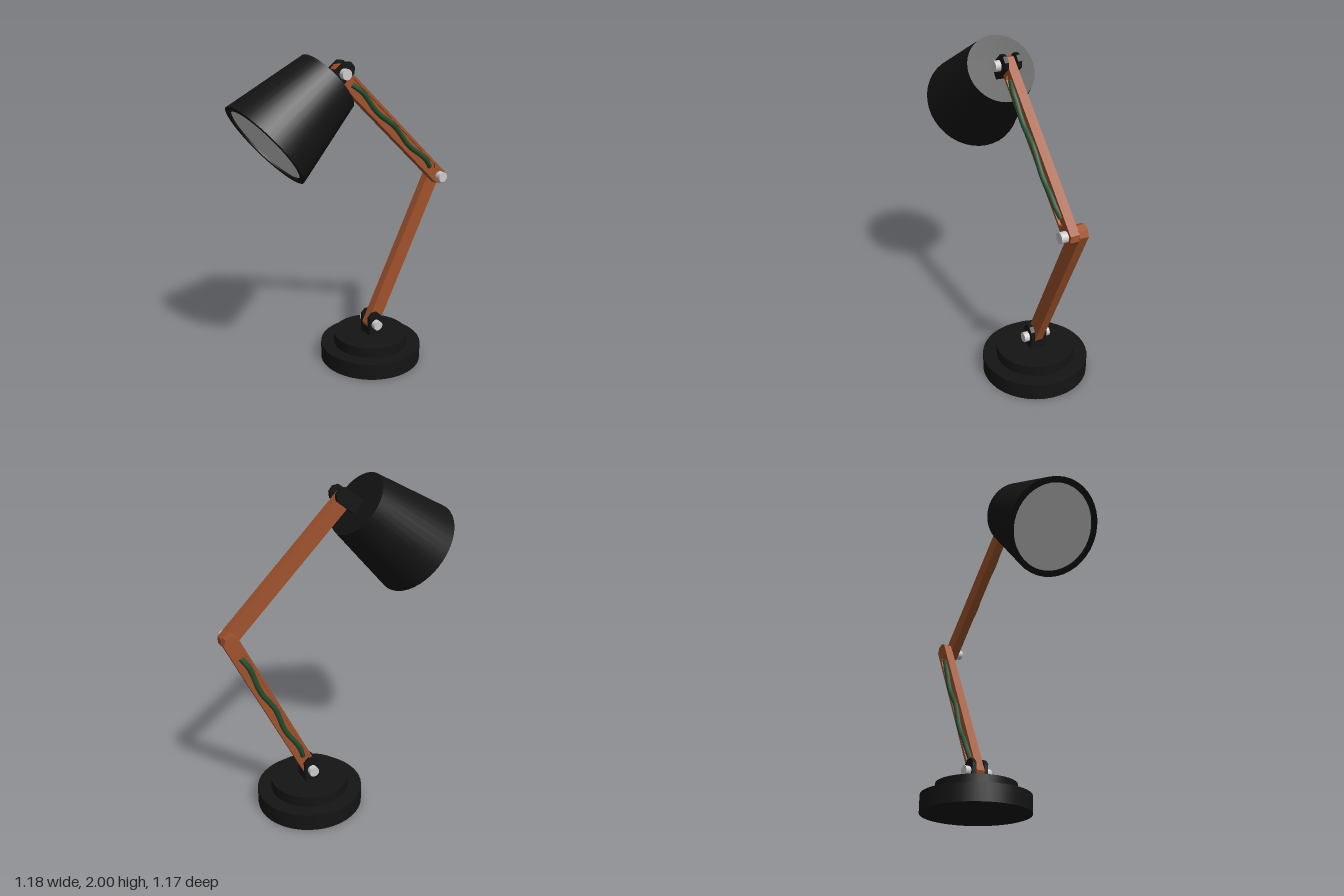
import * as THREE from 'three';

const mat = (color, side = THREE.FrontSide) => new THREE.MeshStandardMaterial({ color, side });
const black = mat(0x141414), wood = mat(0xa0522d), green = mat(0x254d2e), grey = mat(0xcccccc);

const ARM = 0.054;   // arm thickness
const R = 0.046;     // arm half width
const PLATE = 0.025; // bracket plate thickness

function add(parent, name, geometry, material, x = 0, y = 0, z = 0) {
  const mesh = new THREE.Mesh(geometry, material);
  mesh.name = name;
  mesh.position.set(x, y, z);
  parent.add(mesh);
  return mesh;
}

function group(parent, name, x = 0, y = 0, z = 0) {
  const g = new THREE.Group();
  g.name = name;
  g.position.set(x, y, z);
  parent.add(g);
  return g;
}

// Long bar outline with half-octagon ends, from x0 to x1
function barPoints(x0, x1, r) {
  const k = r * 0.414;
  return [[x0 - r, -k], [x0 - k, -r], [x1 + k, -r], [x1 + r, -k],
    [x1 + r, k], [x1 + k, r], [x0 - k, r], [x0 - r, k]].map(p => new THREE.Vector2(...p));
}

function extrude(shape, depth) {
  const g = new THREE.ExtrudeGeometry(shape, { depth, bevelEnabled: false });
  return g.translate(0, 0, -depth / 2);
}

function knob(parent, x, y, z) {
  const m = add(parent, 'knob', new THREE.CylinderGeometry(0.031, 0.031, 0.045, 16), grey, x, y, z);
  m.rotation.x = Math.PI / 2;
}

// Arm between two pivots, with a slot and a wavy cable on one side
function arm(parent, name, a, b, z, side) {
  const g = group(parent, name, a[0], a[1], z);
  const len = Math.hypot(b[0] - a[0], b[1] - a[1]);
  g.rotation.z = Math.atan2(b[1] - a[1], b[0] - a[0]);
  const slot = 0.012;
  add(g, 'armBar', extrude(new THREE.Shape(barPoints(0, len, R)), ARM - slot), wood, 0, 0, -side * slot / 2);
  const rim = new THREE.Shape(barPoints(0, len, R));
  rim.holes.push(new THREE.Path(barPoints(0.09, len - 0.09, 0.03).reverse()));
  add(g, 'armSlotRim', extrude(rim, slot), wood, 0, 0, side * (ARM - slot) / 2);
  const pts = [];
  for (let i = 0; i <= 12; i++) {
    const t = i / 12;
    const lift = i === 0 || i === 12 ? 0.018 : 0.032;
    pts.push(new THREE.Vector3(len * (0.1 + 0.8 * t), 0.009 * Math.sin(t * Math.PI * 5), side * lift));
  }
  add(g, 'cable', new THREE.TubeGeometry(new THREE.CatmullRomCurve3(pts), 60, 0.016, 8), green);
}

// Forked bracket, its pivot at the group's origin and its foot pointing down
function bracket(parent, name, x, y, z) {
  const g = group(parent, name, x, y, z);
  const w = 0.045, c = 0.026, top = 0.075, foot = -0.1;
  const shape = new THREE.Shape([[-w, foot], [w, foot], [w, top - c], [w - c, top],
    [c - w, top], [-w, top - c]].map(p => new THREE.Vector2(...p)));
  for (const s of [-1, 1]) add(g, 'bracketPlate', extrude(shape, PLATE), black, 0, 0, s * (ARM + PLATE) / 2);
  add(g, 'bracketFoot', new THREE.BoxGeometry(w * 2, 0.08, ARM), black, 0, -0.06, 0);
  return g;
}

export function createModel() {
  const root = new THREE.Group();
  root.name = 'deskLamp';
  // The arms fold in one vertical plane, turned about y
  const lamp = group(root, 'lamp');
  lamp.rotation.y = THREE.MathUtils.degToRad(43.8);

  const low = [0.27, 0.243], elbow = [0.719, 1.178], head = [-0.004, 1.883];
  const zLow = -0.046, zUp = 0.006;

  // Stepped round base
  add(lamp, 'base', new THREE.CylinderGeometry(0.323, 0.323, 0.105, 40), black, 0.266, 0.0525, zLow);
  add(lamp, 'baseStep', new THREE.CylinderGeometry(0.238, 0.238, 0.07, 40), black, 0.266, 0.137, zLow);

  // Arms
  arm(lamp, 'lowerArm', low, elbow, zLow, -1);
  arm(lamp, 'upperArm', head, elbow, zUp, 1);

  // Joints
  bracket(lamp, 'baseBracket', low[0], low[1], zLow);
  for (const s of [-1, 1]) knob(lamp, low[0], low[1], zLow + s * 0.063);
  knob(lamp, elbow[0], elbow[1], zUp + 0.045);
  knob(lamp, head[0], head[1], zUp + 0.063);

  // Shade, lathed about its axis with the opening at local -y
  const back = new THREE.Vector2(-0.083, 1.84), front = new THREE.Vector2(-0.48, 1.527);
  const len = back.distanceTo(front);
  const tilt = Math.atan2(back.y - front.y, back.x - front.x) - Math.PI / 2;
  const shade = group(lamp, 'shade', back.x, back.y, zUp);
  shade.rotation.z = tilt;
  add(shade, 'shadeShell', new THREE.CylinderGeometry(0.2, 0.293, len, 40, 1, true), black, 0, -len / 2, 0);
  add(shade, 'shadeBack', new THREE.CircleGeometry(0.2, 40), black).rotation.x = -Math.PI / 2;
  add(shade, 'shadeRim', new THREE.RingGeometry(0.257, 0.293, 40), black, 0, -len, 0).rotation.x = Math.PI / 2;
  add(shade, 'shadeLip', new THREE.CylinderGeometry(0.257, 0.257, 0.01, 40, 1, true),
    mat(0x141414, THREE.DoubleSide), 0, 0.005 - len, 0);
  add(shade, 'lightPanel', new THREE.CircleGeometry(0.257, 40), grey, 0, 0.01 - len, 0).rotation.x = Math.PI / 2;

  bracket(lamp, 'shadeBracket', head[0], head[1], zUp).rotation.z = tilt;
  return root;
}
